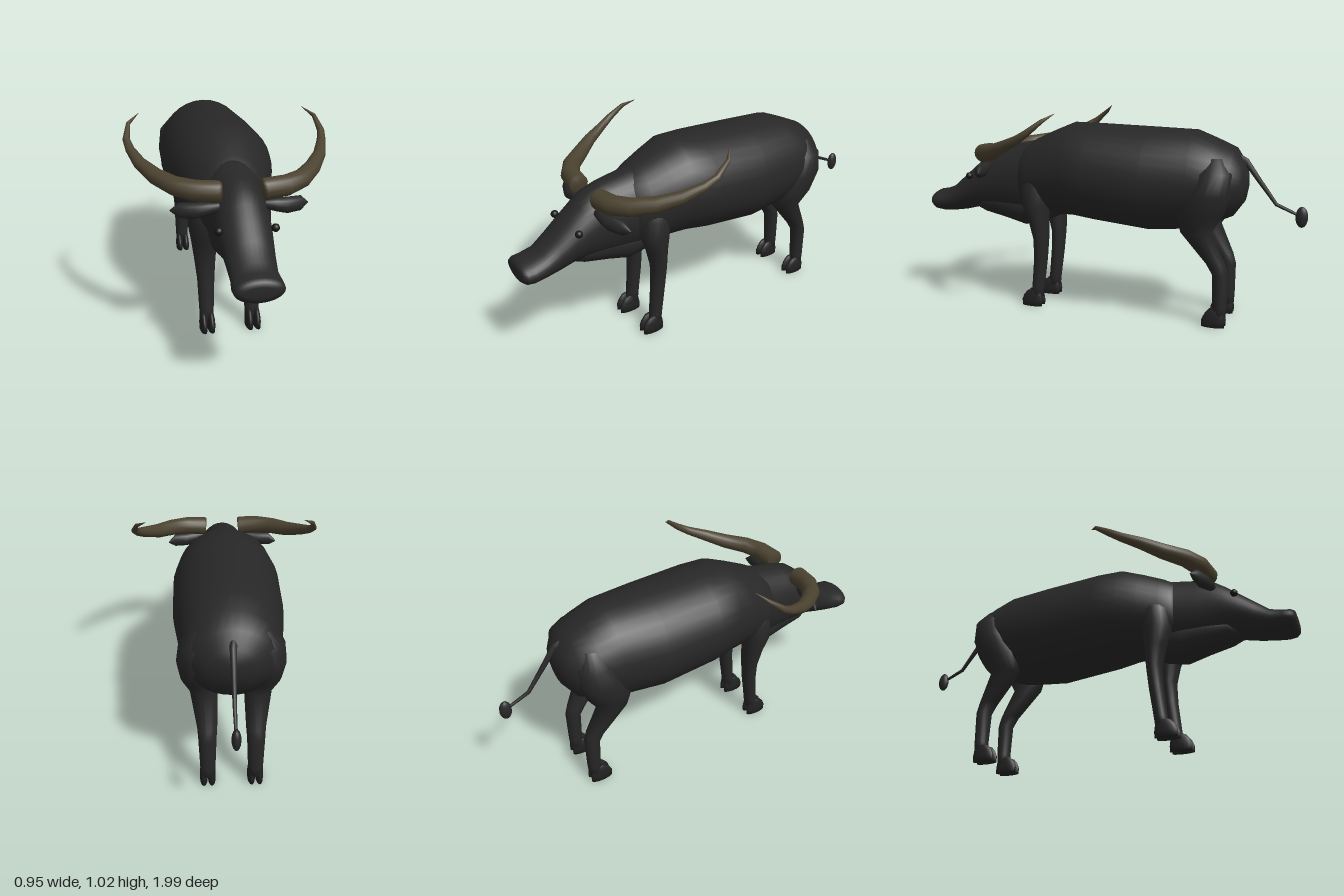
import * as THREE from 'three';

const mat = (name, color) => {
  const m = new THREE.MeshStandardMaterial({ color });
  m.name = name;
  return m;
};

// Skin through rings, each { c, u, v }: centre and two half-axes, with u x v pointing along the loft
function loft(rings, n = 24) {
  const pos = [], idx = [], p = new THREE.Vector3();
  for (const { c, u, v } of rings) {
    for (let j = 0; j < n; j++) {
      const a = (j / n) * Math.PI * 2;
      p.copy(c).addScaledVector(u, Math.cos(a)).addScaledVector(v, Math.sin(a));
      pos.push(p.x, p.y, p.z);
    }
  }
  const last = (rings.length - 1) * n, s = rings.length * n;
  pos.push(...rings[0].c.toArray(), ...rings[rings.length - 1].c.toArray());
  for (let j = 0; j < n; j++) {
    const k = (j + 1) % n;
    for (let i = 0; i < last; i += n) idx.push(i + j, i + k, i + n + k, i + j, i + n + k, i + n + j);
    idx.push(s, k, j, s + 1, last + j, last + k);
  }
  const g = new THREE.BufferGeometry();
  g.setAttribute('position', new THREE.Float32BufferAttribute(pos, 3));
  g.setIndex(idx);
  g.computeVertexNormals();
  return g;
}

const V = (x, y, z) => new THREE.Vector3(x, y, z);

// Rows along z: [z, top, bottom, half width]
const alongZ = rows => loft(rows.map(([z, t, b, w]) => ({
  c: V(0, (t + b) / 2, z), u: V(w, 0, 0), v: V(0, (t - b) / 2, 0) })), 32);

// Rows going up: [y, x, z, half width, half depth]
const alongY = rows => loft(rows.map(([y, x, z, w, d]) => ({
  c: V(x, y, z), u: V(0, 0, d), v: V(w, 0, 0) })), 20);

// Rows along x: [x, y, z, half height, half depth]
const alongX = rows => loft(rows.map(([x, y, z, h, d]) => ({
  c: V(x, y, z), u: V(0, h, 0), v: V(0, 0, d) })), 16);

// Round tube with varying radius: [x, y, z, radius]
function taper(rows, n = 16) {
  const pts = rows.map(r => V(r[0], r[1], r[2]));
  return loft(rows.map((r, i) => {
    const t = pts[Math.min(i + 1, pts.length - 1)].clone().sub(pts[Math.max(i - 1, 0)]).normalize();
    const u = V(0, 1, 0).addScaledVector(t, -t.y).normalize();
    const v = t.clone().cross(u);
    return { c: pts[i], u: u.multiplyScalar(r[3]), v: v.multiplyScalar(r[3]) };
  }), n);
}

// Mirror across x = 0, keeping faces outward
function mirrored(geo) {
  const g = geo.clone().scale(-1, 1, 1);
  const a = g.index.array;
  for (let i = 0; i < a.length; i += 3) [a[i + 1], a[i + 2]] = [a[i + 2], a[i + 1]];
  g.computeVertexNormals();
  return g;
}

export function createModel() {
  const root = new THREE.Group();
  root.name = 'buffalo';
  const hide = mat('dark hide', 0x272727);
  const hoof = mat('hoof', 0x212121);
  const horn = mat('horn', 0x4b4230);
  const eye = mat('eye', 0x161616);

  const add = (name, geo, m) => {
    const mesh = new THREE.Mesh(geo, m);
    mesh.name = name;
    root.add(mesh);
  };
  const pair = (name, geo, m) => {
    add('left' + name, geo, m);
    add('right' + name, mirrored(geo), m);
  };

  // Trunk, from rump to shoulder
  add('body', alongZ([
    [-0.715, 0.73, 0.66, 0.03], [-0.70, 0.79, 0.60, 0.11], [-0.65, 0.86, 0.53, 0.19],
    [-0.56, 0.90, 0.49, 0.22], [-0.46, 0.94, 0.455, 0.235], [-0.24, 0.948, 0.435, 0.262],
    [0.05, 0.958, 0.465, 0.265], [0.17, 0.96, 0.48, 0.242], [0.27, 0.92, 0.48, 0.212],
    [0.37, 0.875, 0.48, 0.18], [0.43, 0.84, 0.49, 0.155], [0.45, 0.82, 0.52, 0.12],
  ]), hide);

  // Neck, skull and broad muzzle
  add('head', alongZ([
    [0.28, 0.89, 0.48, 0.16], [0.42, 0.855, 0.46, 0.145], [0.55, 0.832, 0.47, 0.132],
    [0.62, 0.81, 0.48, 0.125], [0.68, 0.765, 0.49, 0.12], [0.74, 0.715, 0.485, 0.113],
    [0.81, 0.655, 0.468, 0.105], [0.88, 0.595, 0.458, 0.1], [0.94, 0.575, 0.455, 0.107],
    [0.975, 0.57, 0.46, 0.105], [0.992, 0.56, 0.475, 0.09], [0.996, 0.54, 0.49, 0.065],
  ]), hide);

  // Loose skin under the throat
  add('dewlap', alongZ([
    [0.24, 0.60, 0.48, 0.08], [0.35, 0.62, 0.43, 0.11], [0.45, 0.62, 0.408, 0.11],
    [0.56, 0.62, 0.437, 0.10], [0.68, 0.60, 0.463, 0.085], [0.735, 0.54, 0.485, 0.05],
  ]), hide);

  // Legs
  pair('FrontLeg', alongY([
    [0.05, 0.112, 0.352, 0.034, 0.034], [0.10, 0.112, 0.345, 0.036, 0.032],
    [0.25, 0.112, 0.328, 0.042, 0.035], [0.36, 0.115, 0.322, 0.052, 0.038],
    [0.46, 0.118, 0.332, 0.064, 0.052], [0.54, 0.125, 0.345, 0.072, 0.072],
    [0.64, 0.125, 0.34, 0.07, 0.075], [0.74, 0.10, 0.32, 0.05, 0.055],
  ]), hide);
  pair('HindLeg', alongY([
    [0.05, 0.112, -0.612, 0.034, 0.034], [0.10, 0.112, -0.615, 0.036, 0.034],
    [0.26, 0.112, -0.612, 0.042, 0.038], [0.31, 0.112, -0.59, 0.046, 0.046],
    [0.46, 0.125, -0.493, 0.065, 0.075], [0.55, 0.145, -0.515, 0.085, 0.11],
    [0.65, 0.155, -0.55, 0.088, 0.115], [0.75, 0.145, -0.57, 0.085, 0.095],
    [0.82, 0.12, -0.57, 0.05, 0.05],
  ]), hide);

  // Cloven hooves: two toes on each foot
  for (const [label, z] of [['Front', 0.373], ['Hind', -0.588]]) {
    [0.094, 0.132].forEach((x, i) => pair(label + (i ? 'OuterToe' : 'InnerToe'), alongY([
      [0, x, z, 0.018, 0.056], [0.03, x, z, 0.019, 0.057], [0.055, x, z - 0.003, 0.017, 0.05],
      [0.08, x, z - 0.01, 0.013, 0.036], [0.086, x, z - 0.012, 0.006, 0.02],
    ]), hoof));
  }

  // Sweeping horns
  pair('Horn', taper([
    [0.09, 0.797, 0.61, 0.042], [0.10, 0.798, 0.61, 0.048], [0.20, 0.805, 0.597, 0.046],
    [0.28, 0.815, 0.55, 0.042], [0.35, 0.832, 0.465, 0.037], [0.41, 0.865, 0.375, 0.029],
    [0.445, 0.903, 0.285, 0.021], [0.458, 0.935, 0.23, 0.017], [0.442, 0.99, 0.16, 0.01],
    [0.392, 1.024, 0.115, 0.001],
  ]), horn);

  // Drooping leaf-shaped ears
  pair('Ear', alongX([
    [0.10, 0.735, 0.625, 0.02, 0.018], [0.15, 0.727, 0.618, 0.03, 0.028],
    [0.20, 0.718, 0.608, 0.036, 0.032], [0.265, 0.718, 0.592, 0.034, 0.022],
    [0.303, 0.713, 0.575, 0.002, 0.003],
  ]), hide);

  // Eyes
  pair('Eye', new THREE.SphereGeometry(0.018, 16, 12).translate(0.12, 0.67, 0.732), eye);

  // Tail with tuft
  add('tail', taper([
    [0, 0.82, -0.64, 0.022], [0, 0.795, -0.70, 0.016], [0, 0.70, -0.77, 0.012],
    [0, 0.595, -0.85, 0.009], [0, 0.55, -0.955, 0.007],
  ], 10), hide);
  add('tailTuft', new THREE.SphereGeometry(1, 16, 12).scale(0.02, 0.05, 0.029).translate(0, 0.542, -0.968), hide);

  return root;
}
